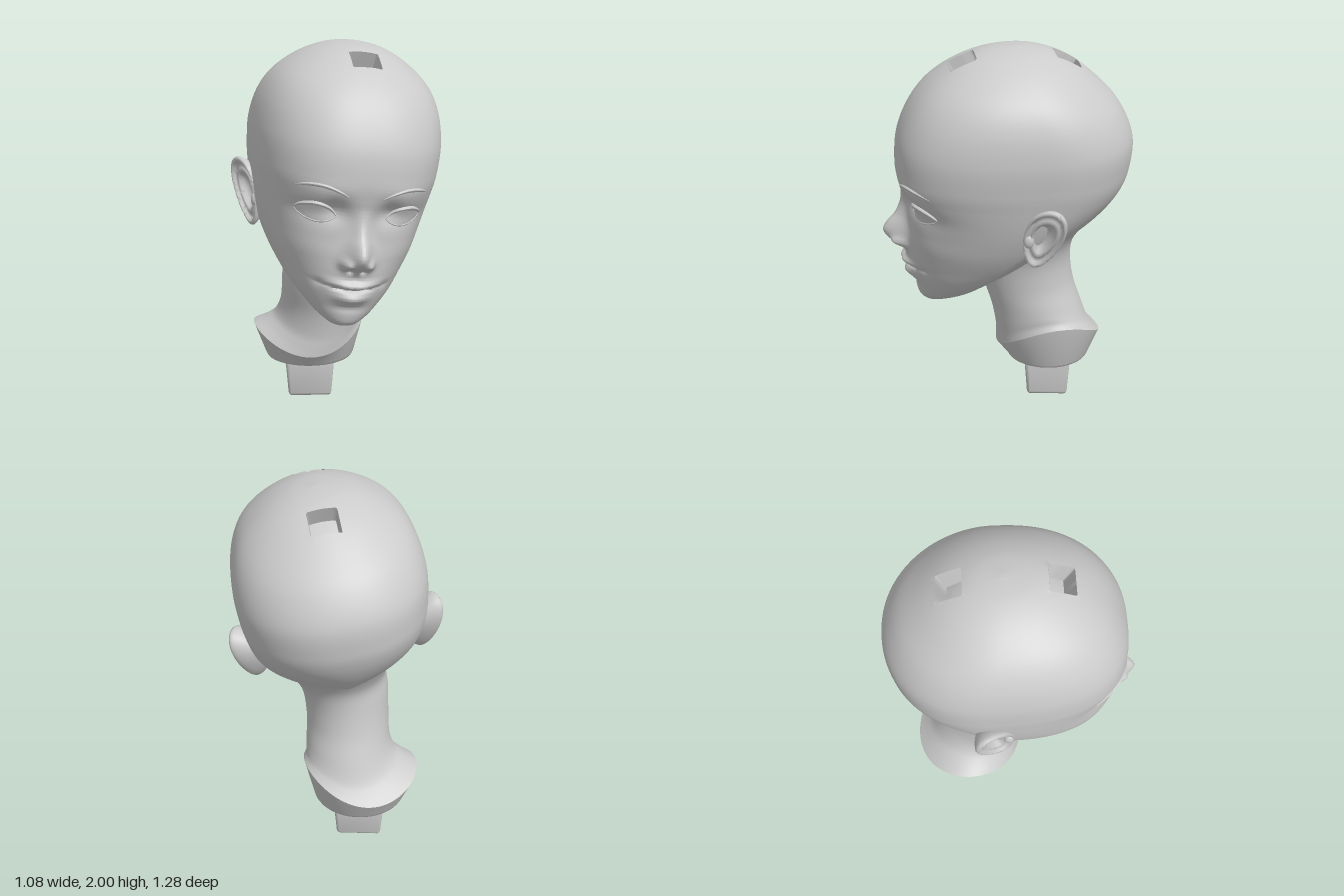
import * as THREE from 'three';
import { toCreasedNormals } from 'three/addons/utils/BufferGeometryUtils.js';
import { RoundedBoxGeometry } from 'three/addons/geometries/RoundedBoxGeometry.js';

const grey = new THREE.MeshStandardMaterial({ color: 0xcccccc, side: THREE.DoubleSide });
const add = (parent, name, geometry) => {
  const mesh = new THREE.Mesh(geometry, grey);
  mesh.name = name;
  parent.add(mesh);
  return mesh;
};

// Skin over closed rings: point(i, a) with angles running counter-clockwise; rings may close to a point
function loft(rows, cols, point, crease) {
  const rings = Array.from({ length: rows }, (_, i) =>
    Array.from({ length: cols }, (_, j) => point(i, (j / cols) * Math.PI * 2)));
  const closed = (r) => Math.hypot(...r[0].map((v, k) => v - r[cols >> 1][k])) < 1e-6;
  const index = [];
  for (let i = 0; i < rows - 1; i++)
    for (let j = 0; j < cols; j++) {
      const a = i * cols + j, b = i * cols + ((j + 1) % cols);
      if (!closed(rings[i])) index.push(a, b, a + cols);
      if (!closed(rings[i + 1])) index.push(b, b + cols, a + cols);
    }
  const g = new THREE.BufferGeometry();
  g.setAttribute('position', new THREE.Float32BufferAttribute(rings.flat(2), 3));
  g.setIndex(index);
  return toCreasedNormals(g, crease);
}

// Level sections of the head: y, front z, back z, half width, z of widest, front and back roundness
const sections = [
  [0.62, 0.385, 0.385, 0, 0.385, 2, 2],
  [0.627, 0.428, 0.31, 0.055, 0.38, 2, 2],
  [0.65, 0.458, 0.24, 0.1, 0.35, 2, 2],
  [0.7, 0.476, 0.13, 0.165, 0.3, 2, 2],
  [0.8, 0.503, 0.0, 0.26, 0.2, 2, 1.8],
  [0.9, 0.528, -0.2, 0.33, 0.08, 2.05, 1.4],
  [1.0, 0.528, -0.36, 0.383, 0.0, 2.15, 1.4],
  [1.1, 0.522, -0.465, 0.42, -0.06, 2.25, 1.65],
  [1.2, 0.53, -0.545, 0.445, -0.1, 2.4, 1.9],
  [1.3, 0.558, -0.6, 0.462, -0.12, 2.5, 2.1],
  [1.4, 0.573, -0.628, 0.475, -0.13, 2.6, 2.15],
  [1.55, 0.56, -0.632, 0.48, -0.13, 2.6, 2.15],
  [1.7, 0.5, -0.565, 0.452, -0.1, 2.5, 2.1],
  [1.82, 0.41, -0.455, 0.387, -0.07, 2.35, 2],
  [1.92, 0.28, -0.325, 0.268, -0.05, 2.1, 2],
  [1.98, 0.13, -0.185, 0.135, -0.04, 2, 2],
  [2.0, -0.04, -0.04, 0, -0.04, 2, 2],
];
const spline = (table, t) => {
  const n = table.length - 1, i = Math.min(Math.floor(t * n), n - 1), s = t * n - i;
  const at = (k) => table[Math.max(0, Math.min(n, k))];
  return table[0].map((_, c) => {
    const [p, q, r, u] = [at(i - 1)[c], at(i)[c], at(i + 1)[c], at(i + 2)[c]];
    return q + 0.5 * s * (r - p + s * (2 * p - 5 * q + 4 * r - u + s * (3 * (q - r) + u - p)));
  });
};

// Relief of the face: nose, sockets, cheeks, lips
const bump = (s, y, cx, cy, sx, sy) => Math.exp(-(((s - cx) / sx) ** 2) - ((y - cy) / sy) ** 2);
const noseRidge = [[0], [0.003], [0.018], [0.037], [0.063], [0.103], [0.118], [0.088], [0.025], [0]];
function relief(x, y) {
  const s = Math.abs(x);
  let z = 0;
  if (y > 0.9 && y < 1.305) {
    const width = 0.042 + 0.02 * THREE.MathUtils.smoothstep(1.2 - y, 0, 0.2);
    z += spline(noseRidge, (1.305 - y) / 0.405)[0] * Math.exp(-((s / width) ** 2));
  }
  z += 0.04 * bump(s, y, 0.06, 0.985, 0.026, 0.028);
  z -= 0.018 * bump(s, y, 0.032, 0.947, 0.016, 0.012);
  z -= 0.026 * bump(s, y, 0.13, 1.245, 0.06, 0.06) + 0.018 * bump(s, y, 0.22, 1.22, 0.12, 0.055);
  z += 0.007 * bump(s, y, 0.2, 1.33, 0.13, 0.05) + 0.012 * bump(s, y, 0.26, 1.06, 0.12, 0.1);
  const mouth = 0.84 + 0.7 * s * s;
  z += 0.032 * bump(s, y, 0.025, mouth + 0.026, 0.085, 0.022);
  z += 0.034 * bump(s, y, 0, mouth - 0.045, 0.08, 0.03);
  z -= 0.026 * bump(s, y, 0, mouth, 0.12, 0.009);
  z -= 0.007 * bump(s, y, 0.17, 0.862, 0.022, 0.022);
  z -= 0.01 * bump(s, y, 0, 0.735, 0.09, 0.025) + 0.006 * bump(s, y, 0, 0.91, 0.02, 0.03);
  return z;
}
function faceZ(x, y) {
  let lo = 0, hi = 1;
  for (let k = 0; k < 30; k++) {
    const mid = (lo + hi) / 2;
    if (spline(sections, mid)[0] < y) lo = mid; else hi = mid;
  }
  const [, f, , w, c, n] = spline(sections, lo);
  return c + (f - c) * Math.max(0, 1 - Math.abs(x / w) ** n) ** (1 / n) + relief(x, y);
}

// Two tapered square sockets sunk into the crown: centre z, and lean of the hole along z
const sockets = [{ z: 0.235, lean: 0.5 }, { z: -0.29, lean: -0.5 }];
const crownDrop = (x, z) => 1.15 * (x * x + (z + 0.02) ** 2);
function cutSockets([x, y, z]) {
  for (const { z: cz, lean } of sockets) {
    const m = Math.max(Math.abs(x) / 0.074, Math.abs(z - cz) / 0.064);
    if (y < 1.6 || m > 1.24) continue;
    // snap nearby points to the edge so that the walls are straight
    const k = m > 0.76 ? 1 / m : 1, sx = x * k, sz = cz + (z - cz) * k;
    const sy = y + crownDrop(x, z) - crownDrop(sx, sz);
    return m < 1 ? [sx * 0.88, sy - 0.09, cz + (sz - cz) * 0.88 - 0.09 * lean] : [sx, sy, sz];
  }
  return [x, y, z];
}

function headGeometry() {
  const rows = 250, rings = Array.from({ length: rows }, (_, i) => spline(sections, i / (rows - 1)));
  return loft(rows, 220, (i, a) => {
    const [y, f, b, w, c, nf, nb] = rings[i];
    const th = a - 0.5 * Math.sin(a), si = Math.sin(th), co = Math.cos(th), n = co > 0 ? nf : nb;
    const k = (Math.abs(si) ** n + Math.abs(co) ** n) ** (-1 / n);
    const x = Math.max(w, 0) * si * k;
    const z = c + (co > 0 ? f - c : c - b) * co * k;
    return cutSockets([x, y, z + (co > 0 ? relief(x, y) * Math.min(1, co * 4) : 0)]);
  }, 1);
}

// Ear: rings of one outline, from the hidden back over the rim into the hollow (scale, height)
function earGeometry() {
  const rings = [[0.4, -0.11], [0.7, -0.065], [0.88, -0.035], [0.97, -0.01], [1, 0.004], [0.98, 0.014], [0.93, 0.018],
    [0.87, 0.014], [0.81, 0], [0.74, -0.006], [0.67, 0], [0.6, 0.006], [0.52, -0.002], [0.42, -0.022], [0.25, -0.034], [0, -0.036]];
  const U = [0.44, 0, -0.9], V = [0.17, 0.985, 0], N = [0.88, -0.16, 0.43], C = [0.465, 1.165, -0.105];
  return loft(rings.length, 64, (i, a) => {
    const [s, h] = rings[i];
    const v = 0.175 * Math.sin(a) * s, u = 0.1 * Math.cos(a) * (1 + 0.25 * Math.sin(a)) * s + 0.2 * v;
    return C.map((c, k) => c + u * U[k] + v * V[k] + h * N[k]);
  }, 3);
}

// Almond eye opening
const lidY = (u, top) => 1.218 + 0.008 * u + (top ? 0.05 : -0.042) * Math.max(0, 1 - u * u) ** 0.8;
const eyeX = (u) => 0.222 + 0.098 * u;
function eyeGeometry() {
  const g = new THREE.PlaneGeometry(2, 2, 24, 12), p = g.attributes.position;
  for (let i = 0; i < p.count; i++) {
    const u = p.getX(i), v = p.getY(i);
    const x = eyeX(u), y = THREE.MathUtils.lerp(lidY(u, false), lidY(u, true), (v + 1) / 2);
    p.setXYZ(i, x, y, faceZ(x, y) + 0.003 + 0.012 * (1 - u * u) * (1 - 0.6 * v * v));
  }
  g.computeVertexNormals();
  return g;
}
// Tapered strip lying on the face
function strip(points, radius, lift) {
  const path = new THREE.CatmullRomCurve3(points.map(([x, y]) => new THREE.Vector3(x, y, faceZ(x, y) + lift)));
  const g = new THREE.TubeGeometry(path, 32, radius, 8), p = g.attributes.position;
  for (let i = 0; i < p.count; i++) {
    const t = Math.floor(i / 9) / 32, c = path.getPointAt(t), k = 0.15 + 0.85 * Math.sin(Math.PI * t) ** 0.6;
    p.setXYZ(i, c.x + (p.getX(i) - c.x) * k, c.y + (p.getY(i) - c.y) * k, c.z + (p.getZ(i) - c.z) * k);
  }
  g.computeVertexNormals();
  return g;
}

function faceSide(name, mirror) {
  const side = new THREE.Group();
  side.name = name;
  side.scale.x = mirror;
  const us = Array.from({ length: 13 }, (_, i) => i / 6 - 1);
  add(side, 'ear', earGeometry());
  const tragus = add(side, 'earTragus', new THREE.SphereGeometry(1, 16, 12));
  tragus.scale.set(0.016, 0.035, 0.025);
  tragus.position.set(0.434, 1.14, -0.04);
  add(side, 'eye', eyeGeometry());
  add(side, 'upperLid', strip(us.map((u) => [eyeX(u), lidY(u, true)]), 0.011, 0.006));
  add(side, 'lowerLid', strip(us.map((u) => [eyeX(u), lidY(u, false)]), 0.006, 0.003));
  add(side, 'eyebrow', strip([[0.08, 1.315], [0.13, 1.342], [0.2, 1.364], [0.27, 1.364], [0.335, 1.343]], 0.01, -0.002));
  return side;
}

// Neck and collar rings: y, wave share, centre x, centre z, radius x, radius z
const wave = (a) => 0.0565 * Math.cos(2 * a) + 0.02 * Math.sin(2 * a) + 0.004 + 0.0275 * Math.sin(a) + 0.025 * Math.cos(a);
const ringPoint = ([y, k, cx, cz, rx, rz], a) => [cx + rx * Math.cos(a), y + k * wave(a), cz - rz * Math.sin(a)];
const collarRings = [[0.225, 0, -0.12, -0.225, 0, 0], [0.225, 0, -0.12, -0.225, 0.225, 0.21], [0.23, 0, -0.12, -0.225, 0.238, 0.222],
  [0.245, 0, -0.12, -0.225, 0.246, 0.23], [0.385, 1, -0.125, -0.225, 0.305, 0.285]];
const neckRings = [[0.385, 1, -0.125, -0.225, 0.305, 0.285], [0.425, 0.85, -0.095, -0.208, 0.263, 0.267],
  [0.475, 0.6, -0.07, -0.19, 0.238, 0.25], [0.57, 0.2, -0.055, -0.16, 0.222, 0.242],
  [0.7, 0, -0.05, -0.115, 0.218, 0.243], [0.85, 0, -0.035, -0.09, 0.227, 0.25],
  [0.97, 0, 0, -0.1, 0.25, 0.26], [1.1, 0, 0.035, -0.15, 0.32, 0.3]];

export function createModel() {
  const model = new THREE.Group();
  model.name = 'mannequinHead';

  // Head, turned and tilted to its left
  const pose = new THREE.Group();
  pose.name = 'headPose';
  pose.position.set(0.032, 1.2, 0);
  pose.rotation.set(0, 0.19, -0.115, 'YXZ');
  const head = new THREE.Group();
  head.name = 'head';
  head.position.y = -1.2;
  add(head, 'skullAndFace', headGeometry());
  head.add(faceSide('leftSide', 1), faceSide('rightSide', -1));
  pose.add(head);
  model.add(pose);

  // Neck, wavy collar and tapered mounting peg
  add(model, 'neck', loft(40, 96, (i, a) => ringPoint(spline(neckRings, i / 39), a), 1));
  add(model, 'collar', loft(collarRings.length, 96, (i, a) => ringPoint(collarRings[i], a), 0.9));
  const peg = new RoundedBoxGeometry(0.28, 0.27, 0.26, 4, 0.022), p = peg.attributes.position;
  for (let i = 0; i < p.count; i++) {
    const k = 0.92 + 0.55 * p.getY(i);
    p.setX(i, p.getX(i) * k);
    p.setZ(i, p.getZ(i) * k);
  }
  add(model, 'peg', toCreasedNormals(peg, 0.6)).position.set(-0.12, 0.135, -0.225);
  return model;
}
